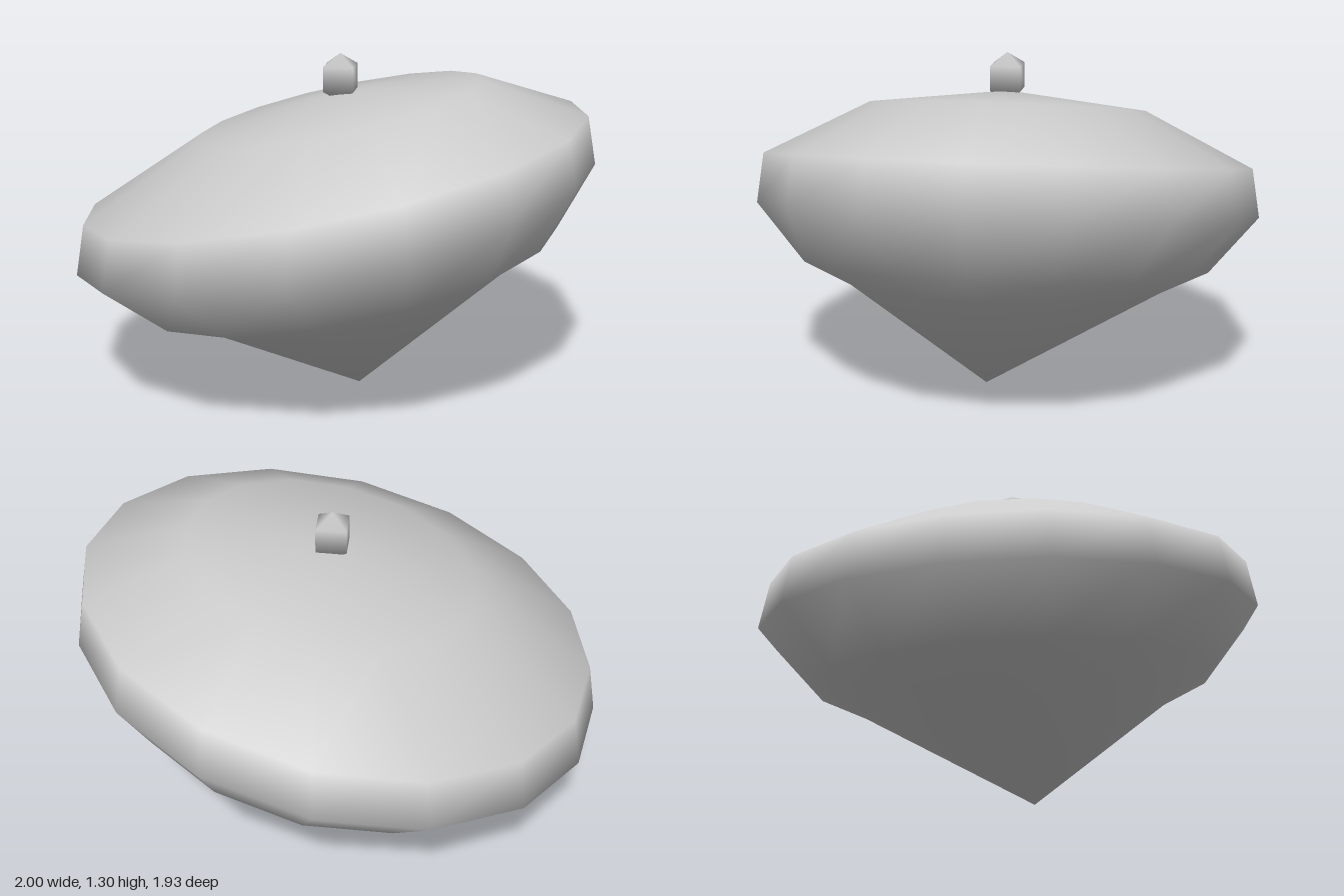
import * as THREE from 'three';

const SIDES = 16;
const SLOPE = 0.222; // lean of the whole top towards its right

// Rings from low to high: centre x, centre y, half width
const RINGS = [
  [0.085, 0.395, 0.625],
  [0.06, 0.478, 0.81],
  [0, 0.688, 1],
  [0, 0.878, 0.967],
  [0.025, 1.093, 0.545],
];
const TIP = [0.12, 0, 0.07];
const CROWN = [0.02, 1.155, 0];

// Point on a slightly oval, leaning ring
function ringPoint([cx, cy, half], j) {
  const a = (j / SIDES) * Math.PI * 2;
  const b = a - 0.043 * Math.sin(2 * a);
  const r = half * (1 - 0.035 * Math.sin(b) ** 2);
  const x = r * Math.cos(b);
  return [cx + x, cy + SLOPE * x, r * Math.sin(b)];
}

function bodyGeometry() {
  const pos = [...TIP];
  for (const ring of RINGS) {
    for (let j = 0; j < SIDES; j++) pos.push(...ringPoint(ring, j));
  }
  pos.push(...CROWN);
  const last = RINGS.length - 1;
  const crown = 1 + RINGS.length * SIDES;
  const id = (i, j) => 1 + i * SIDES + (j % SIDES);

  const index = [];
  for (let j = 0; j < SIDES; j++) {
    index.push(0, id(0, j), id(0, j + 1));
    for (let i = 0; i < last; i++) {
      index.push(id(i, j), id(i + 1, j), id(i, j + 1));
      index.push(id(i, j + 1), id(i + 1, j), id(i + 1, j + 1));
    }
    index.push(id(last, j), crown, id(last, j + 1));
  }
  const geo = new THREE.BufferGeometry();
  geo.setAttribute('position', new THREE.Float32BufferAttribute(pos, 3));
  geo.setIndex(index);
  geo.computeVertexNormals();
  return geo;
}

export function createModel() {
  const group = new THREE.Group();
  const material = new THREE.MeshStandardMaterial({ color: 0xcccccc });

  // Leaning body with a pointed underside
  const body = new THREE.Mesh(bodyGeometry(), material);
  body.name = 'body';
  group.add(body);

  // Small four-sided knob on the crown
  const knob = new THREE.Mesh(new THREE.SphereGeometry(0.094, 4, 3), material);
  knob.name = 'knob';
  knob.rotation.y = Math.PI / 4;
  knob.position.set(0.03, 1.21, 0);
  group.add(knob);

  return group;
}
